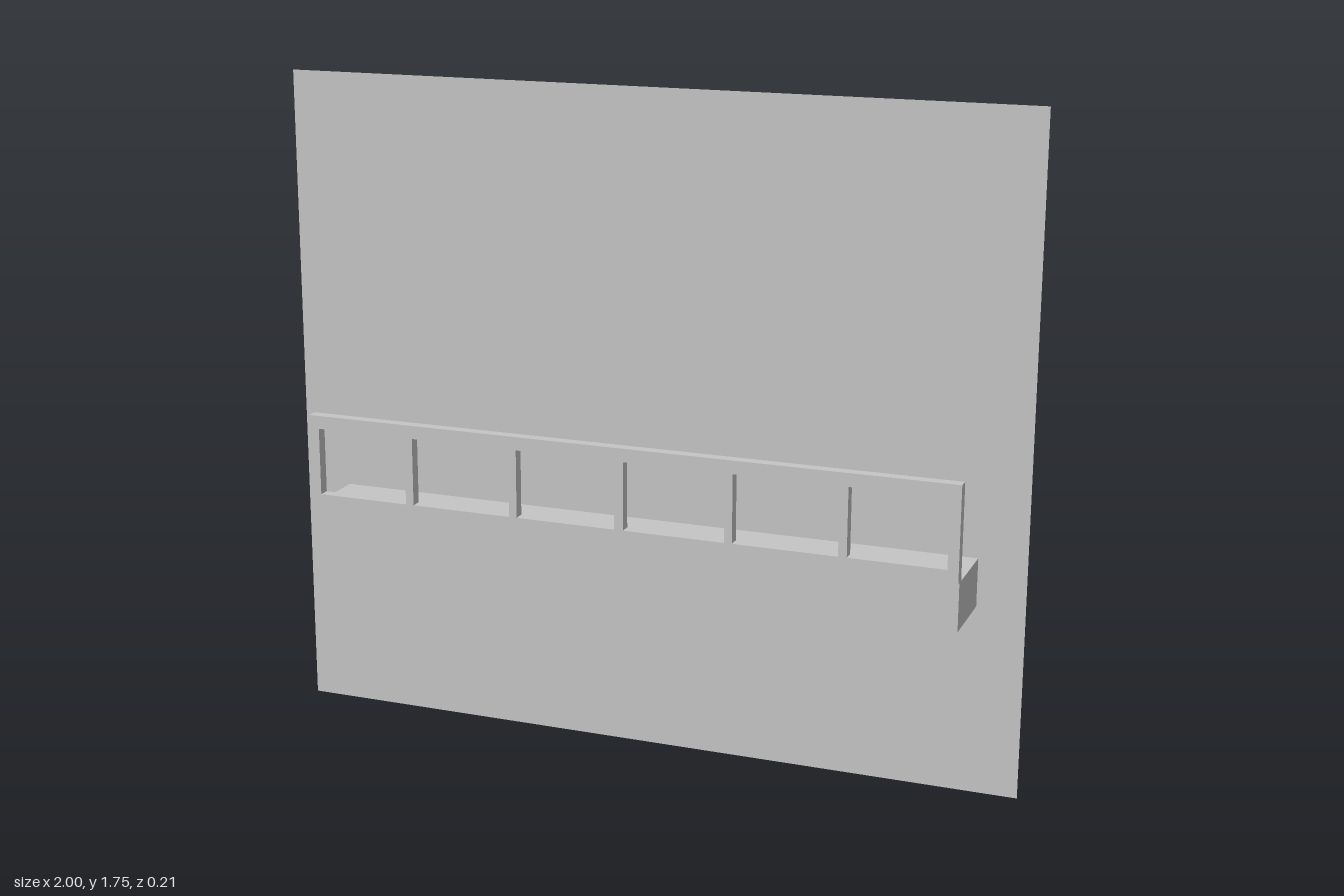
import * as THREE from 'three';

const W = 0.875;               // half width of balcony
const Y0 = 0.5, Y1 = 0.626;    // slab bottom and top
const BACK = -0.105, FRONT = 0.093;

// Rectangle used as an outline or a hole
function rect(Type, x0, y0, x1, y1) {
  const p = new Type();
  p.moveTo(x0, y0);
  p.lineTo(x1, y0);
  p.lineTo(x1, y1);
  p.lineTo(x0, y1);
  p.closePath();
  return p;
}

export function createModel() {
  const grey = new THREE.MeshStandardMaterial({ color: 0xc5c5c5, side: THREE.DoubleSide });
  grey.name = 'concreteGrey';

  const group = new THREE.Group();
  group.name = 'balconyWall';
  const add = (name, geometry, x, y, z, rx = 0, ry = 0) => {
    const mesh = new THREE.Mesh(geometry, grey);
    mesh.name = name;
    mesh.position.set(x, y, z);
    mesh.rotation.set(rx, ry, 0);
    group.add(mesh);
  };

  // Thin facade, open behind the hollow slab
  const wall = rect(THREE.Shape, -1, 0, 1, 1.75);
  wall.holes.push(rect(THREE.Path, -W, Y0, W, Y1));
  add('wall', new THREE.ShapeGeometry(wall), 0, 0, BACK);

  // Hollow slab of four sheets, open below and behind
  const depth = FRONT - BACK, height = Y1 - Y0;
  const midY = (Y0 + Y1) / 2, midZ = (FRONT + BACK) / 2;
  add('slabFront', new THREE.PlaneGeometry(2 * W, height), 0, midY, FRONT);
  add('slabTop', new THREE.PlaneGeometry(2 * W, depth), 0, Y1, midZ, -Math.PI / 2);
  for (const s of [-1, 1]) {
    add(s > 0 ? 'slabEndLeft' : 'slabEndRight', new THREE.PlaneGeometry(depth, height),
      s * W, midY, midZ, 0, s * Math.PI / 2);
  }

  // Railing frame with six mirrored openings
  const railing = rect(THREE.Shape, -W, Y1, W, 0.875);
  for (const [a, b] of [[0.012, 0.281], [0.302, 0.575], [0.597, 0.847]]) {
    railing.holes.push(rect(THREE.Path, a, 0.66, b, 0.84));
    railing.holes.push(rect(THREE.Path, -b, 0.66, -a, 0.84));
  }
  add('railing', new THREE.ExtrudeGeometry(railing, { depth: 0.03, bevelEnabled: false }), 0, 0, 0.075);

  return group;
}
